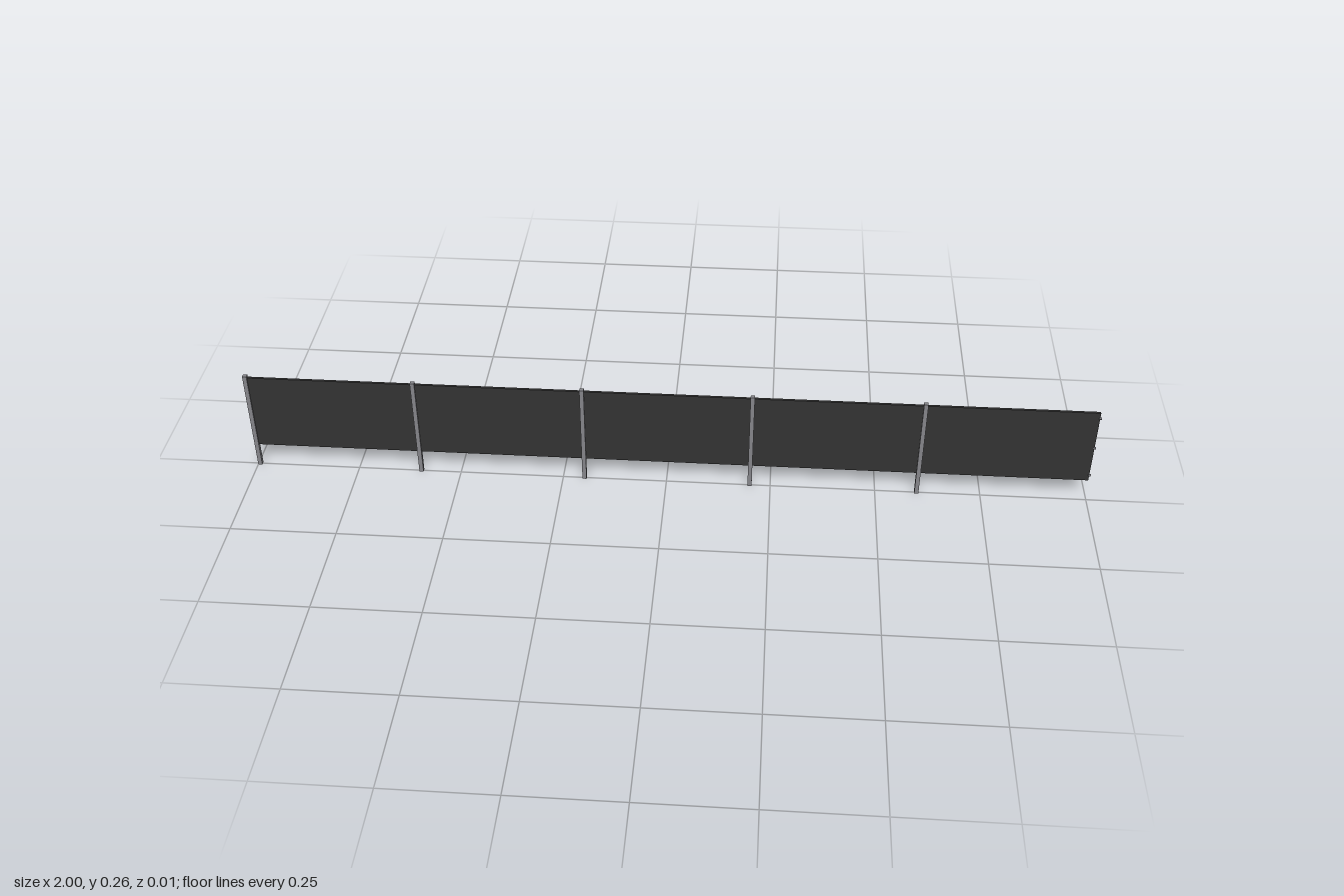
import * as THREE from 'three';

export function createModel() {
  const root = new THREE.Group();
  root.name = 'fence';
  const postMat = new THREE.MeshStandardMaterial({ color: 0x85858a });
  postMat.name = 'grey steel';
  const panelMat = new THREE.MeshStandardMaterial({ color: 0x333333 });
  panelMat.name = 'dark panel';

  const PITCH = 0.3985, START = -0.995, POST = 0.01, HEIGHT = 0.26;
  const BOTTOM = 0.06, TOP = 0.255;

  // box given by its min and max corners
  function box(parent, name, mat, [x0, y0, z0], [x1, y1, z1]) {
    const m = new THREE.Mesh(new THREE.BoxGeometry(x1 - x0, y1 - y0, z1 - z0), mat);
    m.position.set((x0 + x1) / 2, (y0 + y1) / 2, (z0 + z1) / 2);
    m.name = name;
    parent.add(m);
  }

  // C-shaped tray section: front sheet, flanges and small return lips at the back
  const section = new THREE.Shape([
    [0.002, BOTTOM], [0.002, TOP], [-0.004, TOP], [-0.004, TOP - 0.006],
    [-0.003, TOP - 0.006], [-0.003, TOP - 0.001], [0.001, TOP - 0.001],
    [0.001, BOTTOM + 0.001], [-0.003, BOTTOM + 0.001], [-0.003, BOTTOM + 0.006],
    [-0.004, BOTTOM + 0.006], [-0.004, BOTTOM],
  ].map(([z, y]) => new THREE.Vector2(-z, y)));

  for (let i = 0; i < 5; i++) {
    const bay = new THREE.Group();
    bay.name = 'bay' + (i + 1);
    bay.position.x = START + i * PITCH;
    root.add(bay);

    // upright post
    box(bay, 'post', postMat, [-POST / 2, 0, -POST / 2], [POST / 2, HEIGHT, POST / 2]);

    // panel running from this post to the next
    const left = POST / 2, right = PITCH - POST / 2 + 0.004;
    const geo = new THREE.ExtrudeGeometry(section, { depth: right - left, bevelEnabled: false });
    geo.rotateY(Math.PI / 2);
    const panel = new THREE.Mesh(geo, panelMat);
    panel.name = 'panel';
    panel.position.x = left;
    bay.add(panel);

    // end stile behind the sheet
    box(bay, 'endStile', postMat, [right - 0.003, BOTTOM + 0.002, -0.003], [right - 0.001, TOP - 0.002, 0.001]);

    // connecting pins at the far end
    for (const y of [0.075, 0.155, 0.24]) {
      const pin = new THREE.Mesh(new THREE.CylinderGeometry(0.003, 0.003, 0.006, 10), postMat);
      pin.name = 'connectingPin';
      pin.rotation.z = Math.PI / 2;
      pin.position.set(PITCH - 0.0005, y, 0.001);
      bay.add(pin);
    }
  }
  return root;
}
